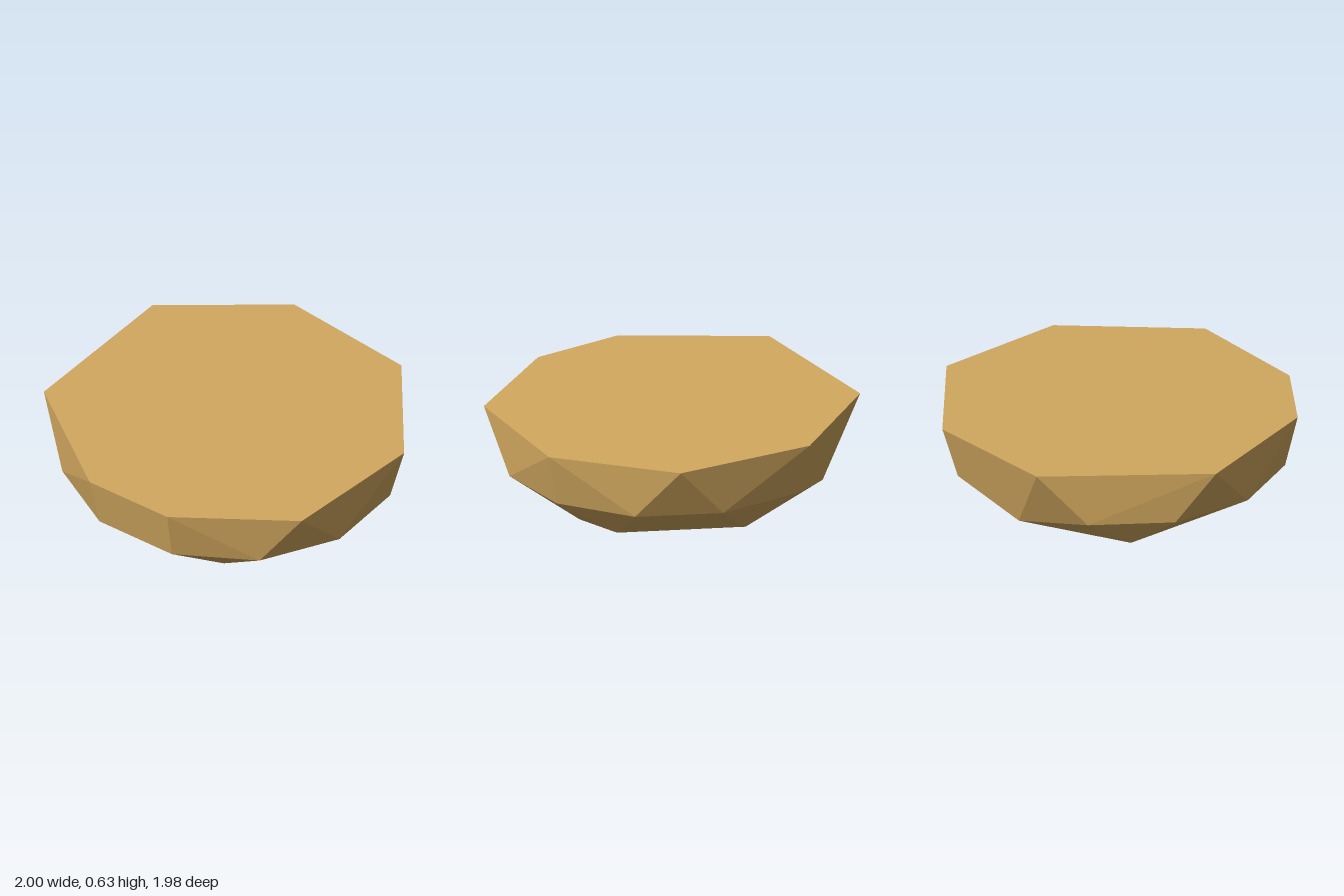
import * as THREE from 'three';
import { ConvexGeometry } from 'three/addons/geometries/ConvexGeometry.js';

// Faceted half-boulder: stacked rings of corners wrapped in a convex skin.
export function createModel() {
  const stone = new THREE.MeshStandardMaterial({ color: 0xd2a85f });
  stone.name = 'sandyStone';

  // Flat, slightly tilted top: [x, z]
  const rim = [
    [-1, 0], [-0.865, 0.5], [-0.31, 0.985], [0.515, 0.87],
    [1, 0.265], [0.885, -0.51], [0.275, -0.99], [-0.685, -0.77],
  ].map(([x, z]) => new THREE.Vector3(x, 0.596 - 0.0315 * z, z));

  // Belt of twelve corners below the rim, with one chipped inwards at the back
  const belt = [];
  for (let i = 0; i < 12; i++) {
    const a = (i * Math.PI) / 6;
    const x = 0.93 * Math.cos(a), z = 0.935 * Math.sin(a);
    belt.push(i === 10
      ? new THREE.Vector3(0.42, 0.205, -0.73)
      : new THREE.Vector3(x, 0.294 - 0.031 * z, z));
  }

  // Lower ring and underside
  const base = [
    [0.7, 0.1, -0.2], [-0.2, 0.115, -0.71], [-0.7, 0.1, -0.12],
    [-0.47, 0.08, 0.51], [0.55, 0.09, 0.49],
    [0.26, 0.02, -0.32], [-0.36, 0, 0.03], [0.15, 0.025, 0.58],
  ].map((p) => new THREE.Vector3(...p));

  const boulder = new THREE.Mesh(new ConvexGeometry([...rim, ...belt, ...base]), stone);
  boulder.name = 'boulder';

  const group = new THREE.Group();
  group.name = 'flatToppedRock';
  group.add(boulder);
  return group;
}
